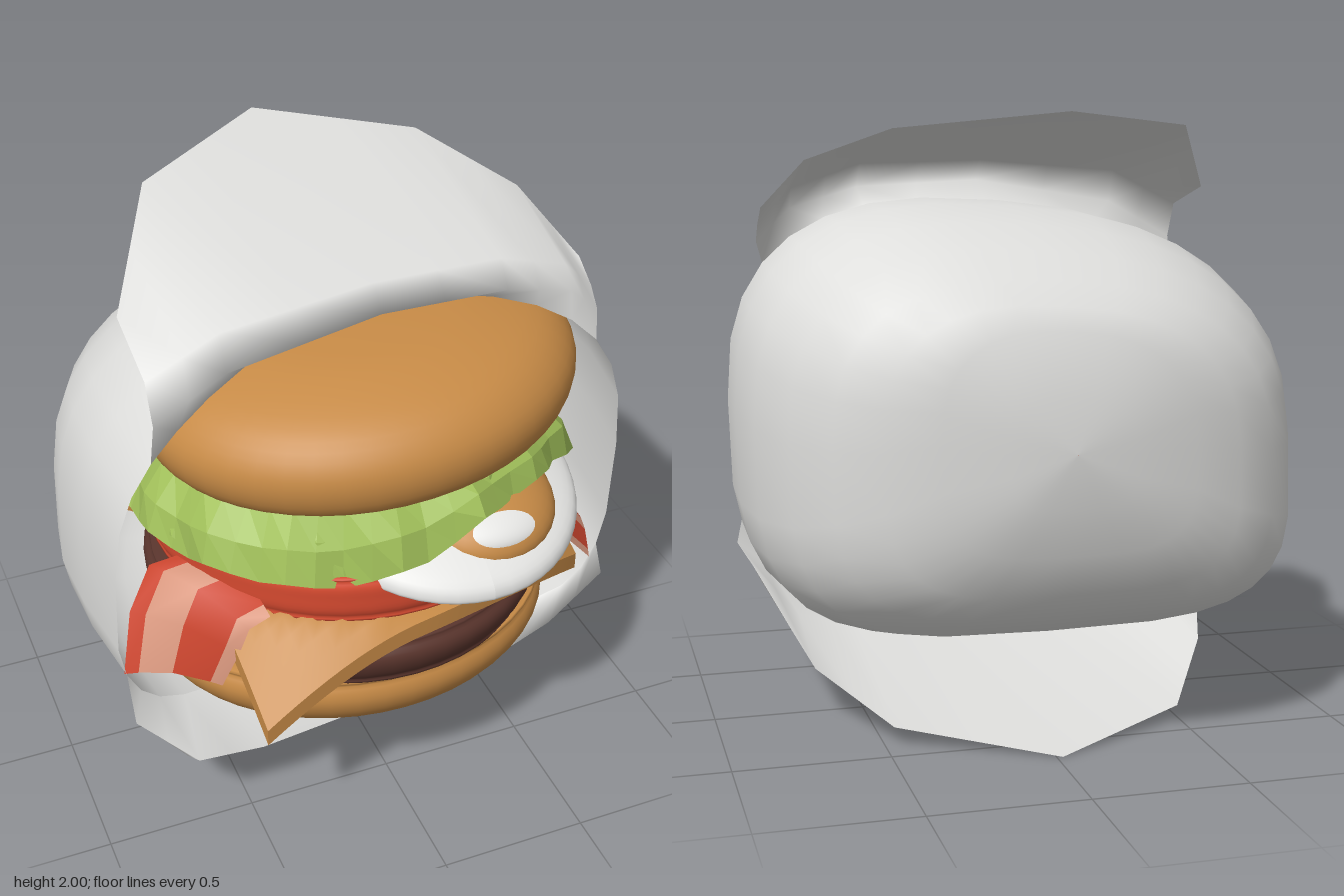
import * as THREE from 'three';

const mat = (name, color, open = false, flatShading = false) => {
  const m = new THREE.MeshStandardMaterial({ color, flatShading });
  m.name = name;
  if (open) m.side = THREE.DoubleSide;
  return m;
};

// Surface through rows of points; each row may be closed into a ring
function loft(rows, closed = false) {
  const n = rows[0].length, index = [];
  for (let r = 0; r < rows.length - 1; r++) {
    for (let i = 0; i < (closed ? n : n - 1); i++) {
      const a = r * n + i, b = r * n + (i + 1) % n;
      index.push(a, b, a + n, b, b + n, a + n);
    }
  }
  const g = new THREE.BufferGeometry();
  g.setAttribute('position', new THREE.Float32BufferAttribute(rows.flat(2), 3));
  g.setIndex(index);
  g.computeVertexNormals();
  return g;
}

// Smooth round slice from a bottom-to-top profile
function disc(profile, segments = 48) {
  const curve = new THREE.SplineCurve(profile.map(p => new THREE.Vector2(...p)));
  const points = curve.getPoints(32);
  points.forEach(p => { p.x = Math.max(p.x, 0); });
  return new THREE.LatheGeometry(points, segments);
}

// Let a sheet droop outside a circle around (cx, cz)
function drape(g, cx, cz, radius, slope) {
  const p = g.attributes.position;
  for (let i = 0; i < p.count; i++) {
    const r = Math.hypot(p.getX(i) - cx, p.getZ(i) - cz);
    p.setY(i, p.getY(i) - slope * Math.max(0, r - radius));
  }
  g.computeVertexNormals();
  return g;
}

// Piecewise linear lookup
function lookup(table, x) {
  for (let i = 1; i < table.length; i++) {
    const [x0, y0] = table[i - 1], [x1, y1] = table[i];
    if (x <= x1) return THREE.MathUtils.lerp(y0, y1, THREE.MathUtils.clamp((x - x0) / (x1 - x0), 0, 1));
  }
  return table[table.length - 1][1];
}

const lerp3 = (a, b, t) => a.map((v, i) => v + (b[i] - v) * t);
// Add the midpoint of every segment
const subdivide = row => row.flatMap((p, i) => i ? [lerp3(row[i - 1], p, 0.5), p] : [p]);

export function createModel() {
  const paper = mat('paper white', 0xdededc, true);
  const bun = mat('toasted bun', 0xc68a46);
  const lettuceGreen = mat('lettuce green', 0xa1c05a, true, true);
  const eggWhite = mat('egg white', 0xe6e6e4);
  const tomatoRed = mat('tomato red', 0xd64a30);
  const baconRed = mat('bacon red', 0xcb452e, true);
  const baconPink = mat('bacon pink', 0xd9987f, true);
  const meat = mat('patty brown', 0x5a352d);

  const model = new THREE.Group();
  const add = (name, geometry, material, position = [0, 0, 0], rotation = [0, 0, 0], parent = model) => {
    const m = new THREE.Mesh(geometry, material);
    m.name = name;
    m.position.set(...position);
    m.rotation.set(...rotation);
    parent.add(m);
  };

  // Wrapper body: rounded rings [z, half width, bottom, top] from opening to back,
  // boxier below, its right side leaning inwards
  const rings = [
    [0.37, 0.88, 0.35, 1.69], [0.1, 0.92, 0.35, 1.71], [-0.15, 0.925, 0.34, 1.7],
    [-0.35, 0.89, 0.34, 1.65], [-0.53, 0.81, 0.38, 1.58], [-0.66, 0.7, 0.46, 1.5],
    [-0.74, 0.56, 0.55, 1.43], [-0.79, 0.4, 0.68, 1.36], [-0.83, 0.2, 0.83, 1.17], [-0.84, 0.001, 1.0, 1.002],
  ].map(([z, w, y0, y1], k) => Array.from({ length: 32 }, (_, i) => {
    const a = i / 32 * Math.PI * 2, c = Math.cos(a), s = Math.sin(a), e = 2 / (s < 0 ? 3.7 : 2.6);
    const x = w * Math.sign(c) * Math.abs(c) ** e;
    const y = (y0 + y1) / 2 + (y1 - y0) / 2 * Math.sign(s) * Math.abs(s) ** e + 0.04 * x * (1 + s);
    return [x < 0 ? x * (1 - 0.08 * (y - 0.9)) : x, y, k === 0 ? z - 0.14 * Math.abs(s) ** 6 : z];
  }));
  add('wrapperBody', loft(rings, true), paper);

  // Upper flap: body rim, front fold, top of fold, free edge
  add('wrapperUpperFlap', loft([
    rings[0].slice(3, 14).reverse(),
    ...[
      [[-0.73, 1.56, 0.41], [-0.5, 1.69, 0.41], [0, 1.77, 0.39], [0.43, 1.75, 0.37], [0.67, 1.68, 0.34], [0.79, 1.57, 0.31]],
      [[-0.73, 1.68, 0.35], [-0.5, 1.8, 0.36], [0, 1.84, 0.32], [0.43, 1.83, 0.31], [0.67, 1.75, 0.29], [0.79, 1.63, 0.26]],
      [[-0.73, 1.75, 0.08], [-0.51, 1.96, -0.34], [-0.03, 2, -0.66], [0.46, 1.95, -0.41], [0.68, 1.85, -0.08], [0.79, 1.69, 0.17]],
    ].map(subdivide),
  ]), paper);

  // Lower flap, folded under; the lip sticks out most on the right
  add('wrapperLowerFlap', loft([
    rings[0].slice(18, 31),
    ...[
      [[-0.87, 0.48, 0.47], [-0.69, 0.32, 0.55], [-0.46, 0.28, 0.53], [0, 0.25, 0.45], [0.46, 0.28, 0.41], [0.67, 0.35, 0.39], [0.87, 0.51, 0.38]],
      [[-0.84, 0.42, 0.43], [-0.69, 0.22, 0.42], [-0.47, 0.17, 0.39], [0, 0.15, 0.31], [0.46, 0.19, 0.29], [0.67, 0.26, 0.3], [0.82, 0.43, 0.34]],
      [[-0.82, 0.42, 0.32], [-0.69, 0.17, -0.07], [-0.49, 0.05, -0.4], [-0.02, 0, -0.64], [0.47, 0.06, -0.4], [0.67, 0.17, -0.07], [0.79, 0.37, 0.32]],
    ].map(subdivide),
  ]), paper);

  // Buns (slightly oval), patty and tomato
  add('bottomBun', disc([[0, -0.11], [0.4, -0.11], [0.6, -0.1], [0.67, -0.05], [0.7, 0.02], [0.68, 0.08], [0.62, 0.11], [0, 0.11]])
    .scale(1, 1, 0.83), bun, [-0.01, 0.51, 0.14]);
  add('patty', disc([[0, -0.1], [0.58, -0.1], [0.65, -0.07], [0.68, 0], [0.66, 0.05], [0.58, 0.08], [0, 0.08]]),
    meat, [0, 0.7, 0.07]);
  add('tomatoSlice', disc([[0, -0.1], [0.6, -0.1], [0.67, -0.07], [0.68, 0], [0.67, 0.06], [0.6, 0.085], [0, 0.085]]),
    tomatoRed, [0.02, 0.965, 0.05], [0, 0, 0.03]);
  add('topBun', disc([[0, -0.08], [0.5, -0.09], [0.66, -0.055], [0.715, 0.03], [0.7, 0.13], [0.6, 0.22], [0.4, 0.28], [0.2, 0.3], [0, 0.305]])
    .scale(1, 1, 0.88), bun, [0.03, 1.355, 0.135], [0, 0, 0.083]);

  // Cheese: square sheet with its left corner drawn back, drooping beyond the patty
  const sheet = new THREE.BoxGeometry(1.24, 0.06, 1.2, 24, 1, 24).rotateY(0.1).translate(0.02, 0.845, 0.14);
  const corner = sheet.attributes.position;
  for (let i = 0; i < corner.count; i++) {
    corner.setZ(i, corner.getZ(i) - 0.4 * Math.max(0, corner.getX(i)) ** 2);
  }
  add('cheeseSlice', drape(sheet, 0, 0.06, 0.66, 1), bun);

  // Bacon: strips between two edges, striped across the width
  const bacon = (name, edgeA, edgeB) => {
    const stripes = [0, 0.15, 0.5, 0.88, 1];
    for (let s = 0; s < 4; s++) {
      const rows = edgeA.map((a, i) => [stripes[s], stripes[s + 1]].map(t => {
        const p = lerp3(a, edgeB[i], t);
        p[1] += 0.03 * Math.sin(t * Math.PI);
        return p;
      }));
      add(name, loft(rows), s % 2 ? baconPink : baconRed);
    }
  };
  bacon('leftBacon',
    [[0.5, 0.92, 0.2], [0.7, 0.89, 0.2], [0.77, 0.79, 0.22], [0.84, 0.68, 0.25]],
    [[0.5, 0.87, 0.44], [0.65, 0.84, 0.41], [0.7, 0.73, 0.39], [0.82, 0.59, 0.37]]);
  bacon('rightBacon',
    [[-0.5, 0.93, 0.22], [-0.73, 0.92, 0.24], [-0.82, 0.8, 0.3], [-0.87, 0.6, 0.36]],
    [[-0.45, 0.9, 0.6], [-0.52, 0.87, 0.6], [-0.55, 0.76, 0.58], [-0.6, 0.62, 0.55]]);

  // Fried egg: white draped over the tomato, yolk and its pale spot
  const white = disc([[0, -0.045], [0.15, -0.045], [0.3, -0.045], [0.41, -0.045], [0.455, -0.035], [0.465, -0.01],
    [0.445, 0.02], [0.36, 0.03], [0.2, 0.03], [0, 0.03]]).rotateZ(0.04).translate(0.2, 1.1, 0.38);
  add('eggWhite', drape(white, 0.12, 0.05, 0.58, 0.55), eggWhite);
  const yolk = new THREE.Group();
  yolk.name = 'yolk';
  yolk.position.set(0.28, 1.09, 0.51);
  yolk.rotation.x = 0.22;
  yolk.scale.set(0.26, 0.125, 0.27);
  model.add(yolk);
  add('yolkDome', new THREE.SphereGeometry(1, 32, 12, 0, Math.PI * 2, 0, Math.PI / 2), bun, [0, 0, 0], [0, 0, 0], yolk);
  add('yolkSpot', new THREE.SphereGeometry(1.05, 24, 5, 0, Math.PI * 2, 0, 0.4).scale(1, 1, 0.7),
    eggWhite, [0, 0, 0], [0.88, 0, 0], yolk);

  // Lettuce: two ruffled leaves hanging around the front
  const topEdge = [[-0.75, 1.21], [-0.3, 1.26], [0, 1.3], [0.3, 1.355], [0.5, 1.32], [0.78, 1.27]];
  const lowEdge = [[-0.75, 1.02], [-0.3, 1.02], [0, 1.07], [0.2, 1.17], [0.4, 1.2], [0.58, 1.17], [0.7, 1.06]];
  const leaf = (radius, phase, drop) => {
    const rows = [0, 1, 2, 3].map(k => Array.from({ length: 31 }, (_, i) => {
      const a = -0.2 + i / 30 * (Math.PI + 0.4);
      const wave = Math.sin(i * 1.9 + phase + k * 0.6) * 0.6 + Math.sin(i * 0.8 + phase * 2 + k * 0.7) * 0.4;
      const r = radius * [0.5, 0.86, 0.96, 1][k] + wave * [0, 0.015, 0.025, 0.03][k];
      const x = 0.02 + 1.04 * r * Math.cos(a);
      const hi = lookup(topEdge, x), lo = lookup(lowEdge, x);
      const y = hi + (lo - hi) * [0, 0.08, 0.5, 1][k] + wave * [0, 0.015, 0.025, 0.035][k] - drop;
      return [x, y, 0.01 + r * Math.sin(a)];
    }));
    return loft(rows);
  };
  add('lettuceOuterLeaf', leaf(0.73, 0.4, 0), lettuceGreen);
  add('lettuceInnerLeaf', leaf(0.68, 2.1, 0.01), lettuceGreen);

  return model;
}
